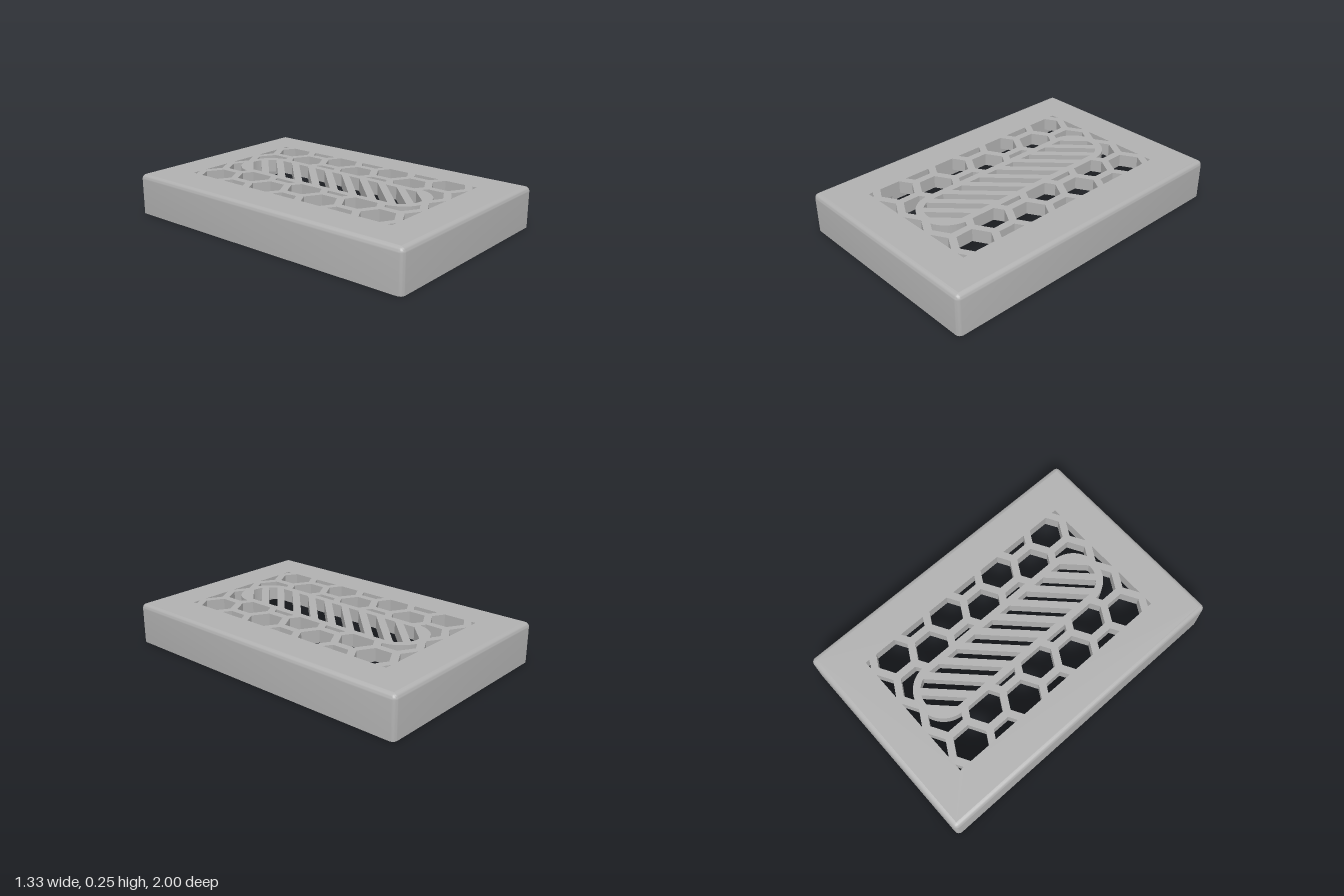
import * as THREE from 'three';
import { toCreasedNormals } from 'three/addons/utils/BufferGeometryUtils.js';

const W = 0.665, L = 1, H = 0.255;          // half width, half length, height
const FILLET = 0.03, WALL = 0.04, PLATE = 0.08;
const OPEN_X = 0.43, OPEN_Y = 0.765;        // half size of the vent window
const PITCH = 0.2375, HEX_R = 0.111;        // honeycomb spacing and hole radius
const RING_OUT = 0.18, RING_IN = 0.135, RING_SPINE = 0.525;

// Keep the part of a convex polygon where nx*x + ny*y <= d
function clip(poly, nx, ny, d) {
  const out = [];
  poly.forEach((p, i) => {
    const q = poly[(i + 1) % poly.length];
    const a = nx * p.x + ny * p.y - d, b = nx * q.x + ny * q.y - d;
    if (a <= 0) out.push(p);
    if (a * b < 0) out.push(p.clone().lerp(q, a / (a - b)));
  });
  return out;
}

// Pill outline helpers
const spinePoint = (p) => new THREE.Vector2(0, THREE.MathUtils.clamp(p.y, -RING_SPINE, RING_SPINE));
const pillDistance = (p) => p.distanceTo(spinePoint(p)) - RING_OUT;
function onPill(p) {
  const s = spinePoint(p);
  return p.clone().sub(s).setLength(RING_OUT).add(s);
}

// Remove the pill from a polygon, following its outline along the cut
function cutPill(poly) {
  const n = poly.length;
  const inside = poly.map((p) => pillDistance(p) < 0);
  if (!inside.includes(true)) return poly;
  const start = poly.findIndex((p, i) => inside[i] && !inside[(i + 1) % n]);
  if (start < 0) return [];
  const crossing = (a, b) => {
    let p = a.clone(), q = b.clone();       // p inside, q outside
    for (let k = 0; k < 25; k++) {
      const m = p.clone().lerp(q, 0.5);
      if (pillDistance(m) < 0) p = m; else q = m;
    }
    return q;
  };
  const out = [crossing(poly[start], poly[(start + 1) % n])];
  let i = (start + 1) % n;
  while (!inside[i]) { out.push(poly[i]); i = (i + 1) % n; }
  out.push(crossing(poly[i], poly[(i + n - 1) % n]));
  const first = out[0], last = out[out.length - 1];
  for (let k = 1; k < 10; k++) out.push(onPill(last.clone().lerp(first, k / 10)));
  return out;
}

// Honeycomb holes, trimmed to the window and to the pill
function honeycombHoles() {
  const holes = [];
  for (let row = -4; row <= 4; row++) {
    const shift = row % 2 ? 0.5 : 0;
    for (let col = -3; col <= 3; col++) {
      const cx = (col + shift) * PITCH, cy = row * PITCH * 0.866;
      let hex = [];
      for (let k = 0; k < 6; k++) {
        const a = Math.PI / 6 + k * Math.PI / 3;
        hex.push(new THREE.Vector2(cx + HEX_R * Math.cos(a), cy + HEX_R * Math.sin(a)));
      }
      for (const s of [-1, 1]) {
        hex = clip(hex, s, 0, OPEN_X);
        hex = clip(hex, 0, s, OPEN_Y);
      }
      if (hex.length > 2) holes.push(cutPill(hex));
    }
  }
  return holes;
}

// Gaps between the diagonal bars inside the pill
function stripeHoles() {
  const pill = [];
  for (let k = 0; k <= 32; k++) {
    const a = k / 32 * Math.PI;
    pill.push(new THREE.Vector2(RING_IN * Math.cos(a), RING_SPINE + RING_IN * Math.sin(a)));
  }
  pill.push(...pill.map((p) => p.clone().negate()));
  const holes = [], period = 0.14, bar = 0.064;
  for (let k = -7; k <= 7; k++) {
    const low = k * period + bar / 2, high = (k + 1) * period - bar / 2;
    holes.push(clip(clip(pill, -1, 1, high), 1, -1, -low));
  }
  return holes;
}

// Top plate with the vent cut through it
function plateGeometry() {
  const x = W - FILLET, y = L - FILLET;
  const shape = new THREE.Shape([[-x, -y], [x, -y], [x, y], [-x, y]].map((p) => new THREE.Vector2(...p)));
  for (const hole of [...honeycombHoles(), ...stripeHoles()]) {
    if (hole.length > 2 && Math.abs(THREE.ShapeUtils.area(hole)) > 1e-4) shape.holes.push(new THREE.Path(hole));
  }
  return new THREE.ExtrudeGeometry(shape, { depth: PLATE, bevelEnabled: false })
    .rotateX(-Math.PI / 2).translate(0, H - PLATE, 0);
}

// Side walls: a profile of [inset, height] swept round a rounded rectangle
function wallGeometry() {
  const profile = [], steps = 6;
  for (let k = 0; k <= steps; k++) {
    const a = k / steps * Math.PI / 2;
    profile.push([FILLET * (1 - Math.sin(a)), H - FILLET * (1 - Math.cos(a))]);
  }
  profile.push([0, 0], [WALL, 0], [WALL, H - PLATE + 0.005]);
  const positions = [], index = [], ring = 4 * (steps + 1);
  for (const [inset, y] of profile) {
    const r = Math.max(FILLET - inset, 0);
    for (let c = 0; c < 4; c++) {
      const sx = c === 0 || c === 3 ? 1 : -1, sz = c < 2 ? 1 : -1;
      for (let k = 0; k <= steps; k++) {
        const a = (c + k / steps) * Math.PI / 2;
        positions.push(sx * (W - inset - r) + r * Math.cos(a), y, sz * (L - inset - r) + r * Math.sin(a));
      }
    }
  }
  for (let i = 0; i < profile.length - 1; i++) {
    for (let j = 0; j < ring; j++) {
      const a = i * ring + j, b = i * ring + (j + 1) % ring;
      index.push(a, b, a + ring, b, b + ring, a + ring);
    }
  }
  const geometry = new THREE.BufferGeometry();
  geometry.setAttribute('position', new THREE.Float32BufferAttribute(positions, 3));
  geometry.setIndex(index);
  return toCreasedNormals(geometry, Math.PI / 5);
}

export function createModel() {
  const group = new THREE.Group();
  group.name = 'ventCover';
  const grey = new THREE.MeshStandardMaterial({ color: 0xb0b0b0 });
  grey.name = 'grey';
  const add = (name, geometry) => {
    const mesh = new THREE.Mesh(geometry, grey);
    mesh.name = name;
    group.add(mesh);
    return mesh;
  };

  add('ventPlate', plateGeometry());
  add('sideWalls', wallGeometry());

  // Snap bumps on the inside of the long walls
  const bump = new THREE.SphereGeometry(0.03, 20, 14);
  for (const sx of [-1, 1]) {
    for (const sz of [-1, 1]) {
      const mesh = add('snapBump', bump);
      mesh.position.set(sx * (W - WALL), 0.05, sz * 0.51);
      mesh.scale.x = 0.7;
    }
  }
  return group;
}
